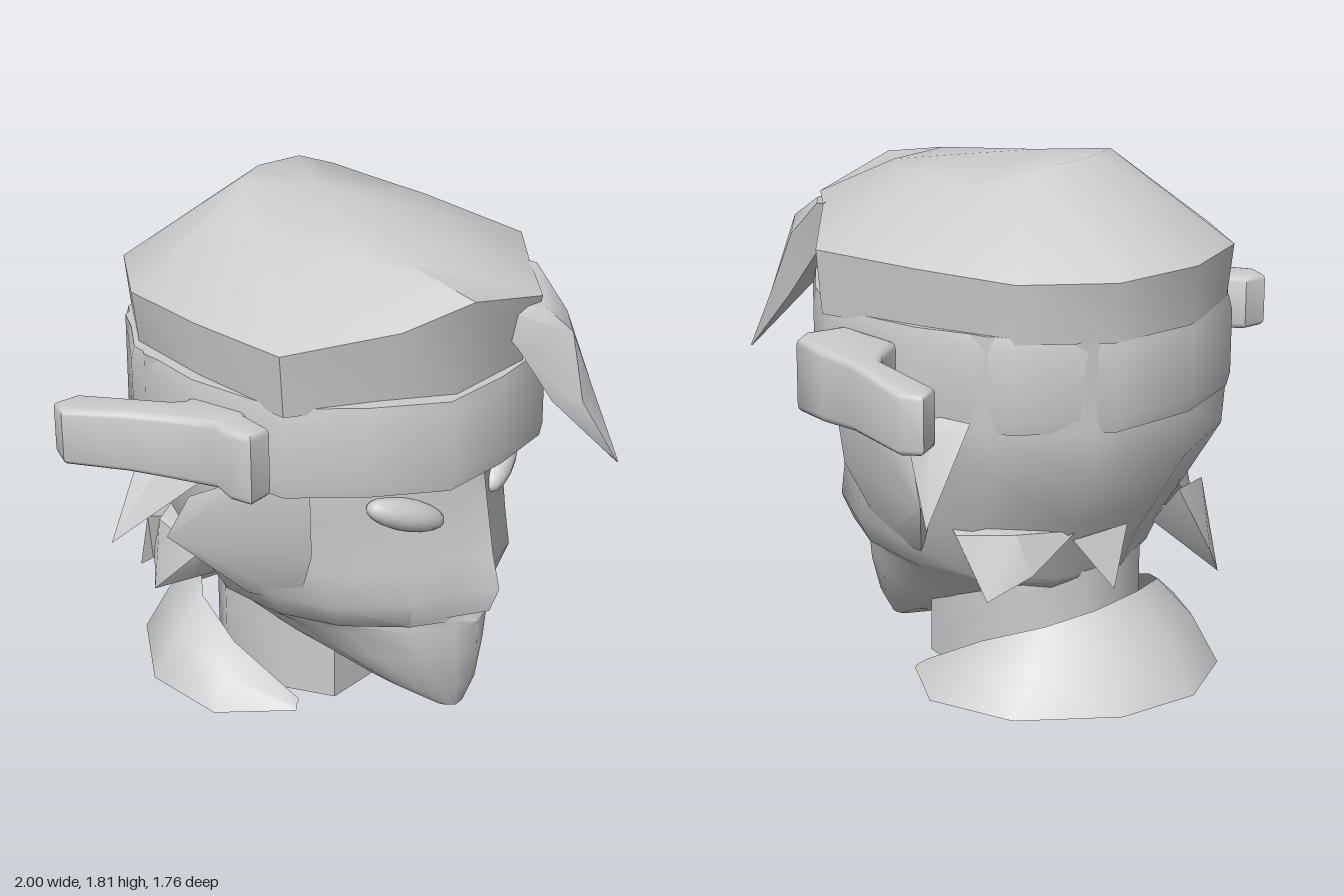
import * as THREE from 'three';
import { toCreasedNormals } from 'three/addons/utils/BufferGeometryUtils.js';
import { ConvexGeometry } from 'three/addons/geometries/ConvexGeometry.js';

const clay = new THREE.MeshStandardMaterial({ color: 0xcccccc, side: THREE.DoubleSide });
clay.name = 'clay grey';
const CX = -0.045; // the head sits slightly off centre

function part(name, geometry, crease = 0.9) {
  const mesh = new THREE.Mesh(toCreasedNormals(geometry, crease), clay);
  mesh.name = name;
  return mesh;
}

// Skin rows of points, bottom to top; each row runs front, +x, back, -x.
function loft(rows, { closed = true, bottom = true, top = null } = {}) {
  const n = rows[0].length, pos = rows.flat(2), idx = [];
  const span = closed ? n : n - 1;
  for (let i = 0; i < rows.length - 1; i++) {
    for (let j = 0; j < span; j++) {
      const a = i * n + j, b = i * n + (j + 1) % n, c = a + n, d = b + n;
      idx.push(a, b, c, b, d, c);
    }
  }
  const fan = (r, up, apex) => {
    const c = pos.length / 3;
    pos.push(...(apex || [0, 1, 2].map(k => rows[r].reduce((s, p) => s + p[k], 0) / n)));
    for (let j = 0; j < n; j++) {
      const a = r * n + j, b = r * n + (j + 1) % n;
      idx.push(...(up ? [c, a, b] : [c, b, a]));
    }
  };
  if (closed && bottom) fan(0, false);
  if (closed) fan(rows.length - 1, true, top);
  const g = new THREE.BufferGeometry();
  g.setAttribute('position', new THREE.Float32BufferAttribute(pos, 3));
  g.setIndex(idx);
  return g;
}

const hull = pts => new ConvexGeometry(pts.map(p => new THREE.Vector3(...p)));
// Mirror a half row (front to back) across the head's middle
const mirrorRow = half => [...half, ...half.slice(1, -1).reverse().map(([x, y, z]) => [-x, y, z])]
  .map(([x, y, z]) => [x + CX, y, z]);

// Head: y, half width, front z, back z, nose depth, nose half width
function head() {
  const rows = [
    [0, 0.05, 0.44, 0.34, 0.0, 0.02],
    [0.1, 0.17, 0.48, 0.08, 0.01, 0.05],
    [0.25, 0.3, 0.51, -0.3, 0.03, 0.08],
    [0.36, 0.38, 0.51, -0.52, 0.03, 0.1],
    [0.4, 0.43, 0.47, -0.57, 0.0, 0.12],
    [0.42, 0.45, 0.56, -0.58, 0.09, 0.13],
    [0.52, 0.51, 0.6, -0.62, 0.11, 0.12],
    [0.65, 0.55, 0.57, -0.7, 0.08, 0.08],
    [0.85, 0.6, 0.54, -0.82, 0.06, 0.06],
    [1.0, 0.63, 0.52, -0.82, 0.02, 0.07],
    [1.32, 0.62, 0.5, -0.82, 0.01, 0.07],
  ];
  return loft(rows.map(([y, w, f, b, nose, nw]) => {
    const z = t => f + (b - f) * t;
    return mirrorRow([
      [0, y, f], [nw, y, f - nose], [0.56 * w, y, z(0.13)], [0.87 * w, y, z(0.3)],
      [w, y, z(0.48)], [0.95 * w, y, z(0.72)], [0.62 * w, y, z(0.93)], [0, y, b],
    ]);
  }));
}

// Headband: one plan outline lifted through slightly bulging rows
function headband() {
  const plan = [[0, 0.6], [0.26, 0.58], [0.46, 0.4], [0.64, 0.18], [0.65, -0.2],
    [0.57, -0.53], [0.33, -0.78], [0, -0.84]];
  return loft([[1.0, 0.985], [1.05, 1], [1.27, 1], [1.32, 0.985]].map(([y, s]) =>
    mirrorRow(plan.map(([x, z]) => [x * s, y, z * s]))));
}

// Hair cap: wide eaves, rising to a ridge at the back
function hair() {
  const eaves = [[-0.25, 1.66, 0.62], [0.1, 1.57, 0.64], [0.3, 1.58, 0.45], [0.62, 1.52, 0.2],
    [0.59, 1.51, -0.2], [0.53, 1.5, -0.55], [0.31, 1.5, -0.79], [-0.03, 1.5, -0.86],
    [-0.36, 1.5, -0.79], [-0.58, 1.5, -0.55], [-0.66, 1.51, -0.2], [-0.71, 1.52, 0.2],
    [-0.42, 1.57, 0.46]];
  const crown = [[-0.23, 1.71, 0.35], [0.04, 1.71, 0.35], [0.18, 1.72, 0.22], [0.29, 1.72, 0.02],
    [0.31, 1.72, -0.2], [0.25, 1.76, -0.35], [0.15, 1.8, -0.42], [-0.03, 1.81, -0.45],
    [-0.16, 1.81, -0.42], [-0.27, 1.78, -0.35], [-0.36, 1.73, -0.2], [-0.36, 1.72, 0.02],
    [-0.28, 1.7, 0.22]];
  const hem = eaves.map(([x, , z]) => [CX + (x - CX) * 0.97, 1.3, z > 0.3 ? z * 0.88 : z * 0.975]);
  return loft([hem, eaves, crown], { top: [-0.03, 1.8, -0.2] });
}

// Forelock: a curved spike hanging over the band
function forelock() {
  return loft([
    [[0.22, 0.99, 0.88], [0.225, 0.99, 0.88], [0.225, 0.99, 0.875], [0.22, 0.99, 0.875]],
    [[0.13, 1.22, 0.79], [0.26, 1.22, 0.74], [0.25, 1.22, 0.66], [0.07, 1.22, 0.71]],
    [[0.11, 1.47, 0.755], [0.28, 1.45, 0.62], [0.26, 1.42, 0.5], [0.02, 1.4, 0.6]],
    [[0.08, 1.54, 0.67], [0.3, 1.58, 0.48], [0.25, 1.6, 0.35], [-0.1, 1.58, 0.5]],
  ]);
}

// Long ears: plan outline extruded upward, thinner toward the tip
function ear(outline) {
  const shape = new THREE.Shape(outline.map(([x, z]) => new THREE.Vector2(x, -z)));
  const g = new THREE.ExtrudeGeometry(shape, {
    depth: 0.2, bevelSize: 0.025, bevelThickness: 0.025, bevelSegments: 3,
  });
  g.rotateX(-Math.PI / 2);
  const p = g.attributes.position;
  for (let i = 0; i < p.count; i++) {
    const taper = THREE.MathUtils.mapLinear(p.getZ(i), 0.18, -0.55, 1.03, 0.78);
    p.setY(i, 1.145 + (p.getY(i) - 0.1) * taper);
  }
  return g;
}

// Open collar: sheet wrapped round the back of the neck
function collar() {
  const lower = [[0.38, 0, 0.02], [0.56, 0, -0.2], [0.52, 0, -0.52], [0.28, 0, -0.79], [0, 0, -0.88]];
  const upper = [[0.34, 0.02, 0], [0.37, 0.17, -0.27], [0.3, 0.25, -0.48], [0.18, 0.3, -0.6], [0, 0.32, -0.64]];
  const wrap = half => [...half, ...half.slice(0, -1).reverse().map(([x, y, z]) => [-x, y, z])]
    .map(([x, y, z]) => [x * 1.04 + CX, y, z]);
  const middle = lower.map((p, i) => p.map((v, k) => (v + upper[i][k]) / 2 * (k === 1 ? 1.15 : 1.02)));
  return loft([lower, middle, upper].map(wrap), { closed: false });
}

export function createModel() {
  const model = new THREE.Group();
  model.name = 'bust';
  model.add(part('head', head(), 0.8), part('headband', headband(), 0.7),
    part('hair', hair(), 0.7), part('forelock', forelock(), 1), part('collar', collar(), 1.2));

  // Neck
  const neckPlan = [[0, 0.08], [0.24, 0.07], [0.3, -0.1], [0.3, -0.38], [0.16, -0.54], [0, -0.57]];
  model.add(part('neck', loft([0, 0.42].map(y => mirrorRow(neckPlan.map(([x, z]) => [x, y, z]))))));

  model.add(part('leftEar', ear([[0.6, 0.1], [0.72, 0.14], [0.77, 0.12], [0.82, -0.02], [0.845, -0.17],
    [0.97, -0.46], [0.95, -0.5], [0.89, -0.48], [0.8, -0.2], [0.74, -0.15], [0.62, -0.1]])));
  model.add(part('rightEar', ear([[-0.64, 0], [-0.64, -0.18], [-0.72, -0.18], [-0.76, -0.22], [-0.89, -0.51],
    [-0.95, -0.525], [-0.975, -0.48], [-0.88, -0.3], [-0.83, -0.17], [-0.77, 0], [-0.8, 0.08],
    [-0.79, 0.135], [-0.74, 0.135], [-0.71, 0.02]])));

  // Paired locks of hair and eyelids
  const locks = {
    Sideburn: [[0.56, 1.02, 0.23], [0.53, 0.75, 0.21], [0.46, 0.49, 0.09], [0.5, 0.49, -0.1],
      [0.71, 0.74, -0.27], [0.67, 0.9, -0.2], [0.62, 1.02, 0.02], [0.5, 0.8, -0.22]],
    SideSpike: [[0.6, 1.02, -0.1], [0.64, 1.04, -0.42], [0.7, 1, -0.3], [0.56, 0.9, -0.3], [0.84, 0.73, -0.4]],
    LowerLock: [[0.48, 0.62, -0.2], [0.54, 0.6, -0.28], [0.5, 0.64, -0.5], [0.3, 0.62, -0.6],
      [0.4, 0.45, -0.32], [0.59, 0.42, -0.45], [0.48, 0.5, -0.55]],
  };
  for (const side of [1, -1]) {
    const label = side > 0 ? 'left' : 'right';
    for (const [name, pts] of Object.entries(locks)) {
      model.add(part(label + name, hull(pts.map(([x, y, z]) => [side * x + CX, y, z])), 0.7));
    }
    const lid = part(label + 'Eyelid', new THREE.SphereGeometry(1, 16, 10));
    lid.scale.set(0.16, 0.055, 0.06);
    lid.rotation.set(0, side * 0.4, side * 0.4);
    lid.position.set(CX + side * 0.27, 0.86, 0.4);
    model.add(lid);
  }

  // Nape locks
  const nape = [[-0.5, 0.6, -0.6], [-0.2, 0.66, -0.7], [-0.25, 0.5, -0.56], [-0.48, 0.42, -0.6],
    [-0.4, 0.31, -0.74], [-0.3, 0.42, -0.77]];
  model.add(part('napeLock', hull(nape), 0.7));
  model.add(part('smallNapeLock', hull([[0.05, 0.6, -0.66], [0.25, 0.58, -0.58], [0.12, 0.5, -0.54], [0.15, 0.4, -0.68]]), 0.7));
  return model;
}
